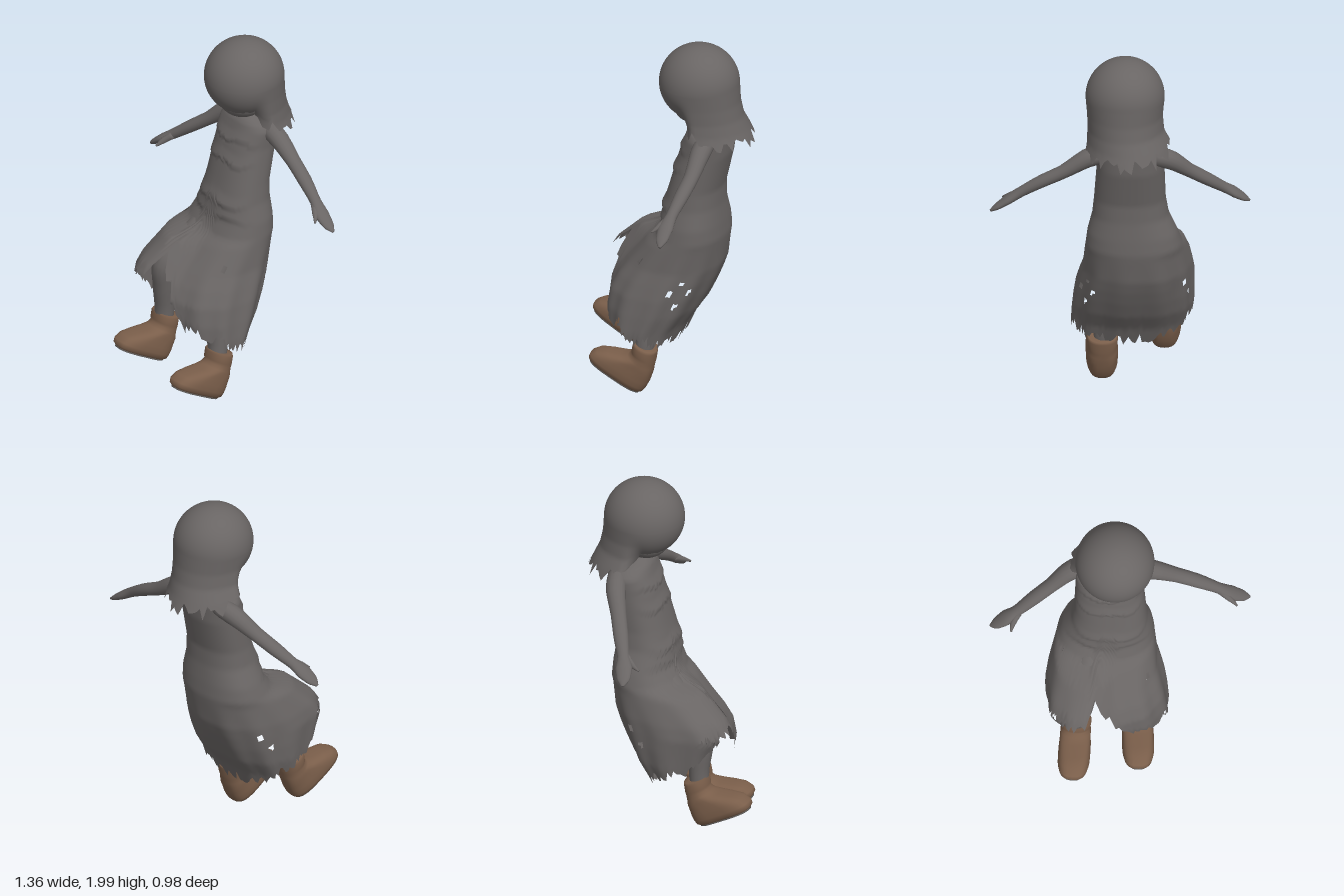
import * as THREE from 'three';

const V = (x, y, z) => new THREE.Vector3(x, y, z);
const smooth = THREE.MathUtils.smoothstep, lerp = THREE.MathUtils.lerp;
const power = (v, e) => Math.sign(v) * Math.abs(v) ** e;

// Seeded noise for the torn edges
let seed = 7;
const rand = () => (seed = (seed * 16807) % 2147483647) / 2147483647;

// Linear lookup in rows sorted by their first value
function lookup(rows, k) {
  const up = rows[0][0] < rows[rows.length - 1][0] ? 1 : -1;
  let i = 0;
  while (i < rows.length - 2 && (rows[i + 1][0] - k) * up < 0) i++;
  const a = rows[i], b = rows[i + 1];
  const t = THREE.MathUtils.clamp((k - a[0]) / (b[0] - a[0]), 0, 1);
  return a.map((v, n) => lerp(v, b[n], t));
}

// Skin closed rings, ordered top to bottom
function loft(rings, skip = () => false) {
  const n = rings[0].length, index = [];
  for (let i = 0; i < rings.length - 1; i++)
    for (let j = 0; j < n; j++) {
      if (skip(rings[i][j], j)) continue;
      const a = i * n + j, b = i * n + (j + 1) % n, c = a + n, d = b + n;
      index.push(a, c, b, b, c, d);
    }
  const g = new THREE.BufferGeometry().setFromPoints(rings.flat());
  g.setIndex(index);
  g.computeVertexNormals();
  return g;
}

// Tapered limb through stations [x, y, z, radius along ref, radius across]
function limb(stations, ref, steps = 24, sides = 16) {
  const curve = new THREE.CatmullRomCurve3(stations.map(s => V(s[0], s[1], s[2])));
  const rings = [];
  for (let i = 0; i <= steps; i++) {
    const t = i / steps, p = curve.getPoint(t), T = curve.getTangent(t);
    const e1 = ref.clone().addScaledVector(T, -ref.dot(T)).normalize();
    const e2 = e1.clone().cross(T);
    const [, r1, r2] = lookup(stations.map((s, k) => [k / (stations.length - 1), s[3], s[4]]), t);
    rings.push(Array.from({ length: sides }, (_, j) => {
      const a = j / sides * Math.PI * 2;
      return p.clone().addScaledVector(e1, r1 * Math.cos(a)).addScaledVector(e2, r2 * Math.sin(a));
    }));
  }
  const ends = [rings[0], rings[steps]].map(r => {
    const c = r.reduce((s, p) => s.add(p), V(0, 0, 0)).divideScalar(sides);
    return r.map(() => c.clone());
  });
  return loft([ends[0], ...rings, ends[1]]);
}

// Dress sections: y, x right, x left, z back, z front on the right and left
const DRESS = [
  [1.57, -0.09, 0.03, -0.29, -0.17, -0.17], [1.54, -0.19, 0.10, -0.345, -0.14, -0.14],
  [1.50, -0.235, 0.125, -0.36, -0.125, -0.125], [1.40, -0.235, 0.12, -0.355, -0.09, -0.09],
  [1.20, -0.24, 0.135, -0.31, -0.035, -0.035], [1.10, -0.255, 0.145, -0.31, -0.005, -0.005],
  [1.00, -0.30, 0.17, -0.32, 0.005, 0.005], [0.92, -0.325, 0.18, -0.325, 0.06, 0.04],
  [0.88, -0.34, 0.185, -0.32, 0.20, 0.09], [0.75, -0.37, 0.20, -0.30, 0.34, 0.20],
  [0.68, -0.378, 0.22, -0.275, 0.385, 0.25], [0.60, -0.378, 0.24, -0.24, 0.34, 0.29],
  [0.50, -0.375, 0.255, -0.19, 0.30, 0.30], [0.40, -0.36, 0.265, -0.12, 0.28, 0.28],
  [0.28, -0.33, 0.26, -0.07, 0.25, 0.25]];
// Hem height by angle, zero at the front and positive to the left
const HEM = [[-180, 0.33], [-135, 0.38], [-100, 0.47], [-80, 0.49], [-60, 0.54], [-40, 0.66], [-25, 0.71],
  [-12, 0.73], [-4, 0.84], [4, 0.72], [11, 0.58], [20, 0.49], [45, 0.48], [70, 0.43], [90, 0.38],
  [110, 0.38], [140, 0.35], [180, 0.33]];
const HOLES = [[-52, 0.70], [-46, 0.67], [-62, 0.68], [68, 0.47], [112, 0.66], [122, 0.71], [128, 0.58],
  [135, 0.66], [-115, 0.62], [-125, 0.70], [55, 0.8]];
const TEARS = [1.43, 1.31, 1.09, 1.01];

function dressGeometry() {
  const cols = 120, rows = 70;
  const angle = j => (j / cols) * 360 - (j >= cols / 2 ? 360 : 0);
  const jag = Array.from({ length: cols }, () => (rand() - 0.3) * 0.07);
  const rings = [];
  for (let i = 0; i <= rows; i++) {
    const v = i / rows;
    rings.push(jag.map((q, j) => {
      const deg = angle(j), a = deg * Math.PI / 180, s = Math.sin(a), c = Math.cos(a);
      const y = lerp(1.57, lookup(HEM, deg)[1], v) - q * v ** 10;
      const [, xr, xl, zb, fr, fl] = lookup(DRESS, y);
      const zf = lerp(fr, fl, smooth(s, -0.25, 0.25));
      // Ragged layers stand out a little above each tear
      let out = 0;
      for (const t of TEARS) {
        const d = y - t - 0.008 * Math.sin(a * 5 + t * 30);
        if (d > 0 && d < 0.06) out = 0.012 * (1 - d / 0.06) * Math.max(0, c);
      }
      // Soft folds grow towards the hem, and the lifted front corner is squarer
      const fold = 1 + 0.02 * Math.sin(a * 11) * smooth(0.95 - y, 0, 0.4);
      const e = 0.88 - 0.16 * smooth(1 - y, 0, 0.3) * smooth(c, 0, 0.4) * smooth(-s, 0, 0.4);
      return V((xr + xl) / 2 + (xl - xr) / 2 * power(s, e) * fold, y,
        (zf + zb) / 2 + (zf - zb) / 2 * power(c, e) * fold + out);
    }));
  }
  return loft(rings, (p, j) => HOLES.some(([d, y]) =>
    Math.hypot((angle(j) - d) / 3.2, (p.y - y) / 0.016) < 1));
}

// Rounded crown that hangs down at the sides and back to a torn edge
function hairGeometry() {
  const cols = 80, rows = 44, R = 0.207, RZ = 0.213, C = V(-0.028, 1.793, -0.192);
  // Height, half width, z back, sideways shift
  const DRAPE = [[1.793, 0.207, -0.405, 0], [1.70, 0.2, -0.412, 0], [1.62, 0.203, -0.428, -0.006],
    [1.55, 0.226, -0.457, -0.022], [1.48, 0.25, -0.49, -0.025]];
  const jag = Array.from({ length: cols }, () => (rand() - 0.4) * 0.08);
  const rings = [];
  for (let i = 0; i <= rows; i++) {
    rings.push(jag.map((q, j) => {
      const a = j / cols * Math.PI * 2, s = Math.sin(a), c = Math.cos(a);
      const w = smooth(-c, -0.3, 0.15), u = i / rows;
      if (u <= 0.5) {
        const f = u * Math.PI;
        return V(C.x + R * Math.sin(f) * s, C.y + R * Math.cos(f), C.z + RZ * Math.sin(f) * c);
      }
      const v = (u - 0.5) * 2;
      const hem = lerp(1.645, lerp(1.565, 1.515, smooth(-c, 0, 0.9)), w);
      const y = lerp(C.y, hem, v) - q * lerp(0.4, 1, w) * v ** 8;
      const ball = Math.sqrt(Math.max(0.002, R * R - (y - C.y) ** 2));
      const [, hx, zb, shift] = lookup(DRAPE, y);
      return V(C.x + shift * w + lerp(ball, hx, w) * s, y,
        C.z + lerp(ball * RZ / R, c < 0 ? C.z - zb : RZ, w) * c);
    }));
  }
  return loft(rings);
}

// Boot outlines: height, heel z, toe z, half width
const BOOT = [[0.242, 0.075, 0.15, 0.04], [0.247, 0.052, 0.178, 0.074], [0.234, 0.046, 0.178, 0.082],
  [0.195, 0.03, 0.168, 0.079], [0.178, 0.026, 0.16, 0.075], [0.155, 0.018, 0.172, 0.08], [0.13, 0.012, 0.205, 0.08],
  [0.10, 0.006, 0.268, 0.081], [0.07, 0.001, 0.318, 0.084], [0.035, 0, 0.342, 0.084], [0.012, 0.004, 0.34, 0.078],
  [0, 0.016, 0.325, 0.062]];
function outline([y, z0, z1, w], k = 1) {
  return Array.from({ length: 32 }, (_, j) => {
    const a = j / 32 * Math.PI * 2, s = Math.sin(a), c = Math.cos(a);
    const e = y > 0.15 ? 0.9 : 0.68;
    const tilt = y > 0.15 ? (y - 0.15) * -0.1 * c : 0;
    return V(k * w * power(s, e), y + tilt, (z0 + z1) / 2 + k * (z1 - z0) / 2 * power(c, e));
  });
}

export function createModel() {
  const model = new THREE.Group();
  const mat = (name, color) => {
    const m = new THREE.MeshStandardMaterial({ color, side: THREE.DoubleSide });
    m.name = name;
    return m;
  };
  const grey = mat('ash grey', 0x696564), brown = mat('boot brown', 0x7a5e4a), dark = mat('sole grey', 0x676360);
  const add = (name, geometry, material, parent = model) => {
    const m = new THREE.Mesh(geometry, material);
    m.name = name;
    parent.add(m);
    return m;
  };
  const ball = (name, x, y, z, sx, sy, sz) => {
    const m = add(name, new THREE.SphereGeometry(1, 32, 20), grey);
    m.position.set(x, y, z);
    m.scale.set(sx, sy, sz);
  };

  // Head, hair and neck
  add('hair', hairGeometry(), grey);
  ball('face', -0.028, 1.765, -0.193, 0.175, 0.18, 0.178);
  ball('chin', -0.028, 1.66, -0.175, 0.13, 0.095, 0.118);
  add('neck', limb([[-0.03, 1.66, -0.21, 0.055, 0.055], [-0.04, 1.5, -0.24, 0.065, 0.065]], V(0, 0, 1), 4), grey);

  // Dress
  add('dress', dressGeometry(), grey);

  // Arms with flat hands and thumbs
  const Z = V(0, 0, 1), X = V(1, 0, 0);
  add('leftArm', limb([[0.05, 1.495, -0.27, 0.05, 0.05], [0.15, 1.475, -0.275, 0.054, 0.052],
    [0.29, 1.39, -0.28, 0.04, 0.036], [0.41, 1.325, -0.272, 0.038, 0.033], [0.51, 1.262, -0.262, 0.029, 0.027],
    [0.58, 1.212, -0.255, 0.042, 0.024], [0.64, 1.17, -0.258, 0.032, 0.016], [0.675, 1.147, -0.262, 0.008, 0.006]], Z), grey);
  add('leftThumb', limb([[0.52, 1.25, -0.25, 0.02, 0.018], [0.57, 1.222, -0.222, 0.018, 0.015],
    [0.612, 1.195, -0.19, 0.005, 0.005]], Z, 8, 10), grey);
  add('rightArm', limb([[-0.16, 1.495, -0.29, 0.05, 0.05], [-0.26, 1.46, -0.26, 0.054, 0.052],
    [-0.36, 1.375, -0.205, 0.042, 0.036], [-0.46, 1.295, -0.15, 0.04, 0.033], [-0.54, 1.23, -0.105, 0.031, 0.027],
    [-0.595, 1.19, -0.08, 0.046, 0.024], [-0.645, 1.152, -0.062, 0.035, 0.016], [-0.675, 1.13, -0.055, 0.008, 0.006]], Z), grey);
  add('rightThumb', limb([[-0.53, 1.23, -0.09, 0.018, 0.02], [-0.555, 1.2, -0.05, 0.016, 0.018],
    [-0.565, 1.175, -0.008, 0.005, 0.005]], X, 8, 10), grey);

  // Legs
  add('leftLeg', limb([[0.03, 0.95, -0.12, 0.085, 0.085], [0.045, 0.78, 0, 0.075, 0.075],
    [0.058, 0.6, 0.09, 0.068, 0.065], [0.07, 0.45, 0.078, 0.065, 0.062], [0.09, 0.32, 0.065, 0.055, 0.053],
    [0.1, 0.2, 0.08, 0.05, 0.05]], X), grey);
  add('rightLeg', limb([[-0.13, 0.95, -0.1, 0.085, 0.085], [-0.165, 0.83, 0.06, 0.075, 0.075],
    [-0.185, 0.72, 0.2, 0.066, 0.066], [-0.2, 0.58, 0.2, 0.064, 0.06], [-0.21, 0.45, 0.19, 0.055, 0.053],
    [-0.215, 0.32, 0.195, 0.05, 0.05]], X), grey);

  // Boots, toes raised
  for (const [name, x, y, z, turn] of [['leftBoot', 0.1, 0.008, 0.075, 0.06], ['rightBoot', -0.218, 0.132, 0.194, -0.03]]) {
    const boot = new THREE.Group();
    boot.name = name;
    boot.position.set(x, y, z);
    boot.rotation.set(-0.5, turn, 0, 'YXZ');
    add(name + 'Upper', loft([outline(BOOT[0], 0), ...BOOT.map(r => outline(r))]), brown, boot);
    const base = BOOT[BOOT.length - 1], low = [-0.007, ...base.slice(1)];
    add(name + 'Sole', loft([outline(base), outline(low), outline(low, 0.96), outline(low, 0)]), dark, boot);
    model.add(boot);
  }
  return model;
}
